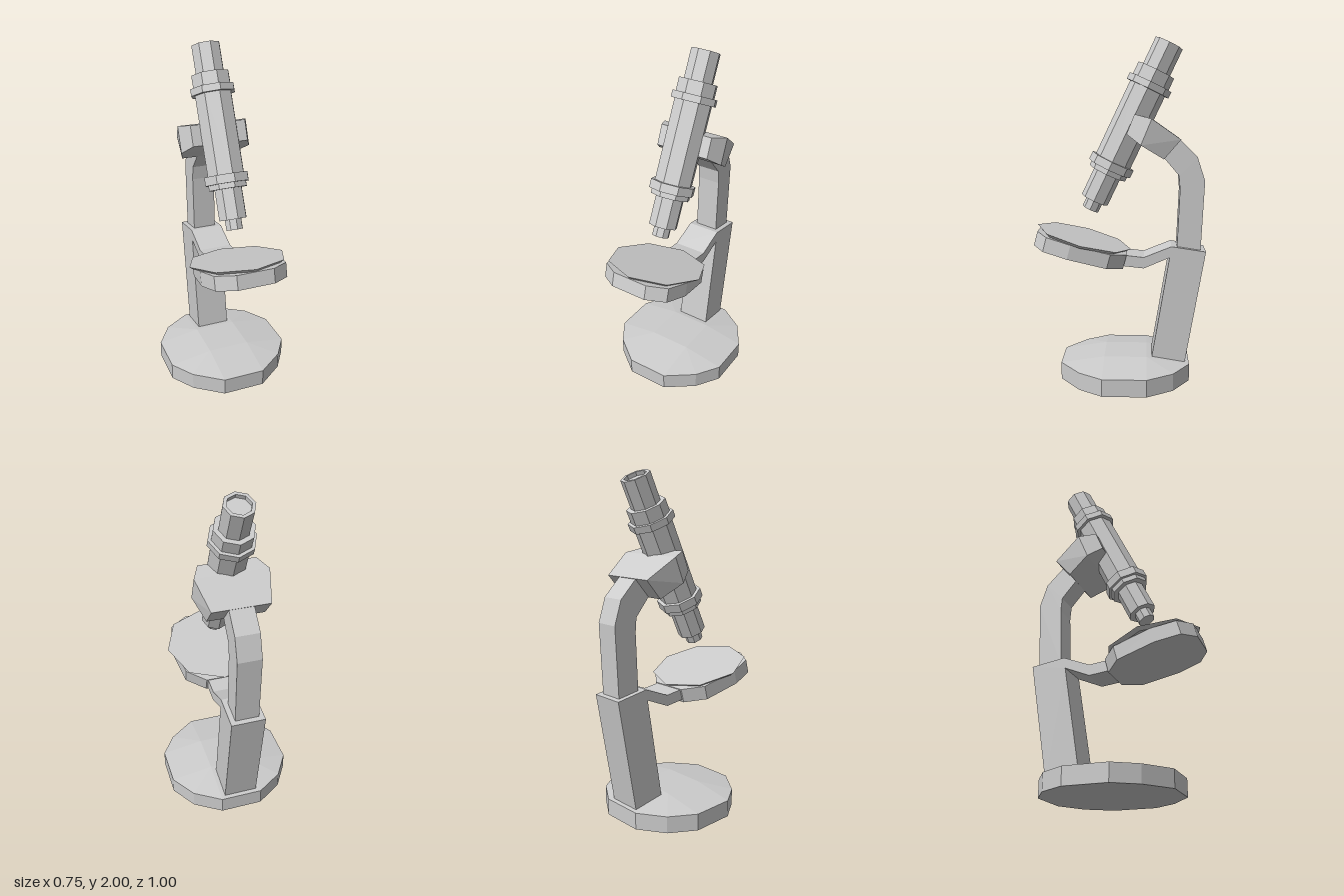
import * as THREE from 'three';
import { ConvexGeometry } from 'three/addons/geometries/ConvexGeometry.js';

const material = new THREE.MeshStandardMaterial({ color: 0xcccccc, flatShading: true });

function part(name, geometry, parent) {
  const mesh = new THREE.Mesh(geometry, material);
  mesh.name = name;
  parent.add(mesh);
  return mesh;
}

// Convex solid from [x, y, z] corners, each mirrored across x = 0
function mirroredHull(corners) {
  return new ConvexGeometry(corners.flatMap(([x, y, z]) => [
    new THREE.Vector3(x, y, z), new THREE.Vector3(-x, y, z),
  ]));
}

// Side profile of [z, y] points, extruded across x
function sideProfile(points, width) {
  const shape = new THREE.Shape(points.map(([z, y]) => new THREE.Vector2(z, y)));
  const geometry = new THREE.ExtrudeGeometry(shape, { depth: width, bevelEnabled: false });
  return geometry.translate(0, 0, -width / 2).rotateY(-Math.PI / 2);
}

export function createModel() {
  const model = new THREE.Group();
  model.name = 'microscope';

  // Foot: twelve-sided slab with a low raised centre
  const rim = [[0.125, 0.345], [0.285, 0.225], [0.375, 0.09], [0.375, -0.16], [0.28, -0.31], [0.125, -0.41]];
  part('base', mirroredHull([
    ...rim.map(([x, z]) => [x, 0, z]),
    ...rim.map(([x, z]) => [x, 0.1, z]),
    [0.125, 0.14, 0.09], [0.125, 0.14, -0.16],
  ]), model);

  // Leaning pillar with the bracket that carries the stage
  part('pillar', sideProfile([
    [-0.185, 0.1], [-0.385, 0.1], [-0.5, 0.77], [-0.3, 0.8], [-0.14, 0.735],
    [0, 0.75], [0, 0.685], [-0.14, 0.67], [-0.29, 0.735],
  ], 0.2), model);

  // Curved neck
  part('neck', sideProfile([
    [-0.333, 0.78], [-0.347, 1.127], [-0.34, 1.21], [-0.25, 1.315], [-0.15, 1.42],
    [-0.22, 1.49], [-0.345, 1.416], [-0.445, 1.317], [-0.49, 1.18], [-0.47, 0.76],
  ], 0.14), model);

  // Wide holder that grips the tube
  part('tubeHolder', mirroredHull([
    [0.165, 1.42, -0.345], [0.21, 1.535, -0.18], [0.165, 1.56, -0.085],
    [0.165, 1.31, -0.25], [0.21, 1.39, -0.12], [0.165, 1.45, -0.04],
  ]), model);

  // Tilted eight-sided tube, from objective tip to hollow eyepiece
  const tubeProfile = [
    [0, 0], [0.05, 0], [0.05, 0.06], [0.083, 0.06], [0.083, 0.235], [0.115, 0.235],
    [0.115, 0.265], [0.132, 0.265], [0.132, 0.315], [0.11, 0.315], [0.11, 0.775],
    [0.132, 0.775], [0.132, 0.815], [0.113, 0.815], [0.113, 0.89], [0.085, 0.89],
    [0.085, 1.057], [0.066, 1.057], [0.066, 1.035], [0, 1.035],
  ].map(([r, y]) => new THREE.Vector2(r, y));
  const tube = part('opticalTube', new THREE.LatheGeometry(tubeProfile, 8), model);
  tube.position.set(0, 1.005, 0.177);
  tube.rotation.x = -0.445;

  // Tilted stage: faceted block under a thin octagonal plate
  const stage = new THREE.Group();
  stage.name = 'stage';
  stage.position.set(0, 0.737, 0.24);
  stage.rotation.x = -0.26;
  model.add(stage);
  const outline = [[0.11, 0.268], [0.215, 0.2], [0.245, 0.055], [0.215, -0.175], [0.11, -0.268]];
  part('stageBlock', mirroredHull(outline.flatMap(([x, z]) => [[x, 0, z], [x, 0.085, z]])), stage);
  const plate = part('stagePlate', new THREE.CylinderGeometry(0.287, 0.262, 0.018, 8), stage);
  plate.position.y = 0.094;

  return model;
}
